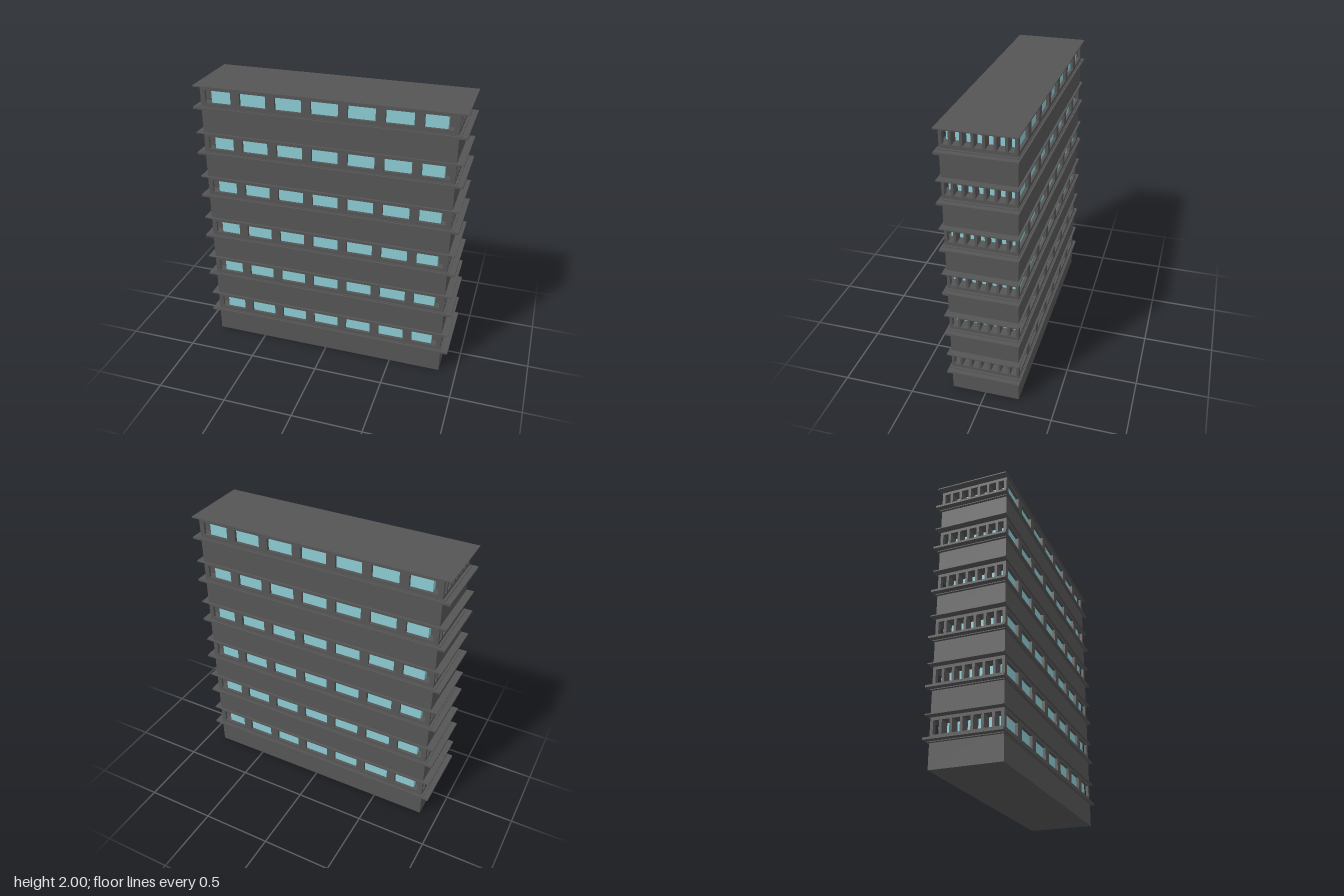
import * as THREE from 'three';

const FLOORS = 6, STOREY = 2 / FLOORS, BAYS = 7;
const HX = 0.873, HZ = 0.239;          // half size of the walls
const GX = 0.80, GZ = 0.219;           // half size of the recessed glass core
const SILL = 0.215, HEAD = 0.305;      // window opening within a storey
const LEDGE = 0.167, SLAB = 0.326;     // ledge underside, slab underside

const concrete = new THREE.MeshStandardMaterial({ color: 0x555555 });
const glass = new THREE.MeshStandardMaterial({ color: 0x8ccbd3 });

// Box given by its x, y and z ranges
function block(parent, name, [x0, x1], [y0, y1], [z0, z1], material = concrete) {
  const mesh = new THREE.Mesh(new THREE.BoxGeometry(x1 - x0, y1 - y0, z1 - z0), material);
  mesh.position.set((x0 + x1) / 2, (y0 + y1) / 2, (z0 + z1) / 2);
  mesh.name = name;
  parent.add(mesh);
}

// Full-plan box centred on the building
function layer(parent, name, hx, hz, y0, y1, material) {
  block(parent, name, [-hx, hx], [y0, y1], [-hz, hz], material);
}

// Solid ranges left between evenly spaced openings along a wall
function pierRanges(half) {
  const pitch = half * 0.2853, open = half * 0.2125;
  const ranges = [];
  let start = -half;
  for (let i = 0; i < BAYS; i++) {
    const c = (i - (BAYS - 1) / 2) * pitch;
    ranges.push([start, c - open / 2]);
    start = c + open / 2;
  }
  ranges.push([start, half]);
  return ranges;
}

function createStorey() {
  const storey = new THREE.Group();

  // Solid wall, sill and lintel bands
  layer(storey, 'lowerWall', HX, HZ, 0, SILL);
  layer(storey, 'lintel', HX, HZ, HEAD, SLAB);

  // Glass core behind the openings
  layer(storey, 'windowGlass', GX, GZ, SILL, HEAD, glass);

  // Piers between the windows on the long walls
  for (const r of pierRanges(HX)) {
    for (const s of [-1, 1]) {
      block(storey, 'longWallPier', r, [SILL, HEAD], s > 0 ? [GZ, HZ] : [-HZ, -GZ]);
    }
  }
  // Deep piers between the windows on the end walls
  const ends = pierRanges(HZ);
  ends.forEach((r, i) => {
    const corner = i === 0 || i === ends.length - 1;
    const inner = corner ? HX * 0.96 : GX;
    for (const s of [-1, 1]) {
      block(storey, 'endWallPier', s > 0 ? [inner, HX] : [-HX, -inner], [SILL, HEAD], r);
    }
  });

  // Projecting ledge under the windows, with a stepped edge
  layer(storey, 'ledgeCore', 0.89, 0.245, LEDGE - 0.002, LEDGE + 0.024);
  layer(storey, 'ledgeRim', 0.928, 0.257, LEDGE + 0.003, LEDGE + 0.018);

  // Thin overhanging slab above the windows
  layer(storey, 'roofSlab', 0.922, 0.254, SLAB, STOREY);
  return storey;
}

export function createModel() {
  const building = new THREE.Group();
  building.name = 'building';
  for (let i = 0; i < FLOORS; i++) {
    const storey = createStorey();
    storey.name = `storey${i + 1}`;
    storey.position.y = i * STOREY;
    building.add(storey);
  }
  return building;
}
